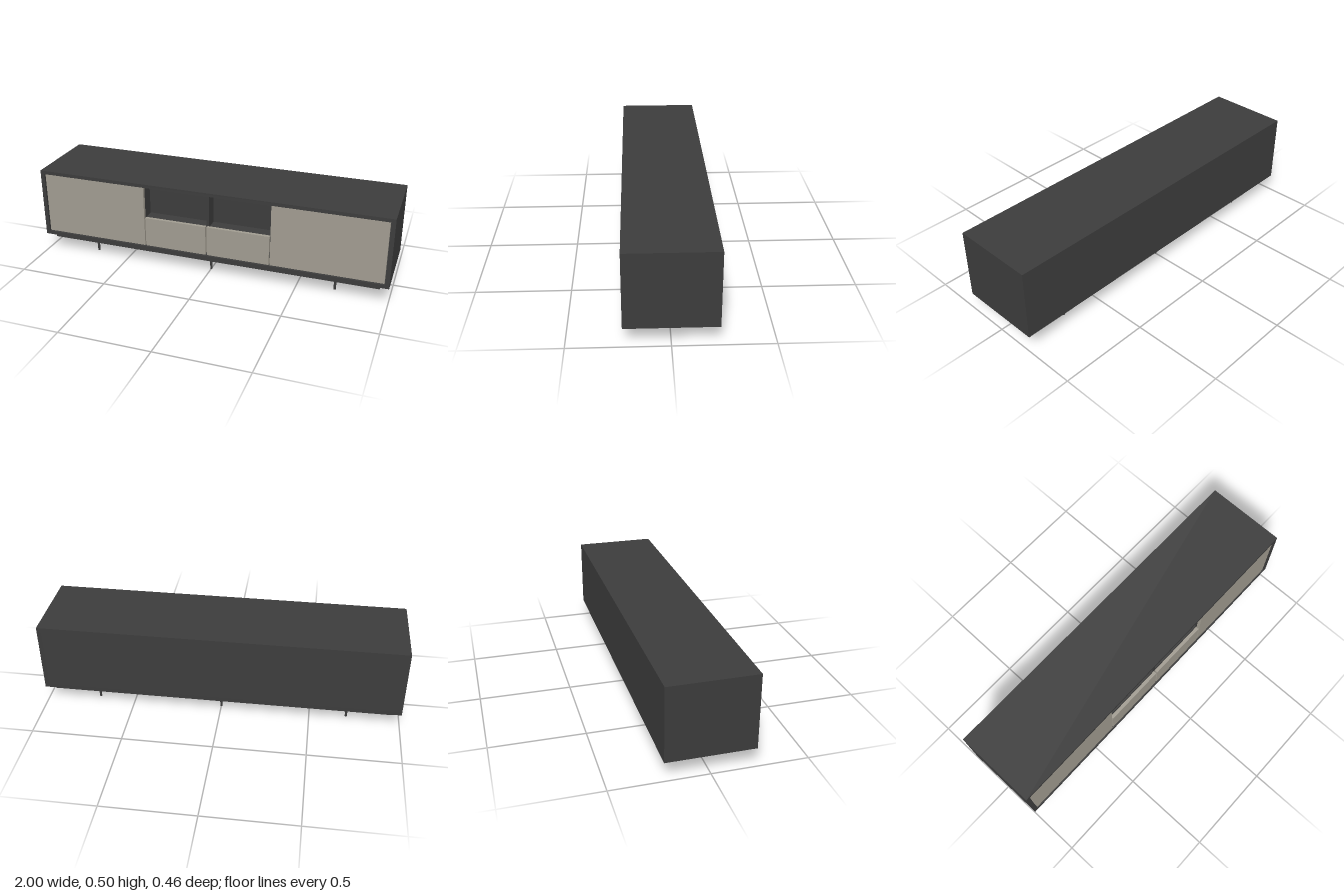
import * as THREE from 'three';

export function createModel() {
  const group = new THREE.Group();
  group.name = 'sideboard';

  const dark = new THREE.MeshStandardMaterial({ color: 0x3c3c3c });
  dark.name = 'charcoal';
  const pale = new THREE.MeshStandardMaterial({ color: 0xa09b90 });
  pale.name = 'warm grey';

  // Box given by its lower and upper limits on each axis
  function box(name, mat, [x0, x1], [y0, y1], [z0, z1]) {
    const mesh = new THREE.Mesh(new THREE.BoxGeometry(x1 - x0, y1 - y0, z1 - z0), mat);
    mesh.position.set((x0 + x1) / 2, (y0 + y1) / 2, (z0 + z1) / 2);
    mesh.name = name;
    group.add(mesh);
  }

  // Outer carcass: open at the front
  const depth = [-0.23, 0.23];
  const inner = [0.122, 0.48];
  box('topPanel', dark, [-1, 1], [0.48, 0.5], depth);
  box('bottomPanel', dark, [-1, 1], [0.102, 0.122], depth);
  box('leftSide', dark, [0.977, 1], inner, depth);
  box('rightSide', dark, [-1, -0.977], inner, depth);
  box('backPanel', dark, [-0.977, 0.977], inner, [-0.23, -0.21]);

  // Inner partitions and the open niche
  const inside = [-0.21, 0.2];
  box('leftPartition', dark, [0.36, 0.38], inner, inside);
  box('rightPartition', dark, [-0.39, -0.37], inner, inside);
  box('nicheFloor', dark, [-0.37, 0.36], [0.27, 0.288], inside);
  box('nicheBack', dark, [-0.37, 0.36], [0.288, 0.48], [0.12, 0.13]);
  box('nicheDivider', dark, [-0.008, 0.008], [0.288, 0.48], [0.13, 0.2]);

  // Doors and drawer fronts
  const front = [0.205, 0.224];
  box('leftDoor', pale, [0.36, 0.973], [0.126, 0.477], front);
  box('rightDoor', pale, [-0.973, -0.368], [0.126, 0.477], front);
  box('leftDrawer', pale, [0.001, 0.354], [0.126, 0.295], front);
  box('rightDrawer', pale, [-0.362, -0.007], [0.126, 0.295], front);

  // Recessed plinth
  box('plinth', dark, [-0.95, 0.95], [0.078, 0.102], [-0.204, 0.204]);

  // Two rows of tapered legs
  const legShape = new THREE.CylinderGeometry(0.0085, 0.006, 0.08, 16);
  for (const x of [-0.707, 0, 0.707]) {
    for (const z of [-0.146, 0.146]) {
      const leg = new THREE.Mesh(legShape, dark);
      leg.position.set(x, 0.04, z);
      leg.name = z > 0 ? 'frontLeg' : 'backLeg';
      group.add(leg);
    }
  }
  return group;
}
